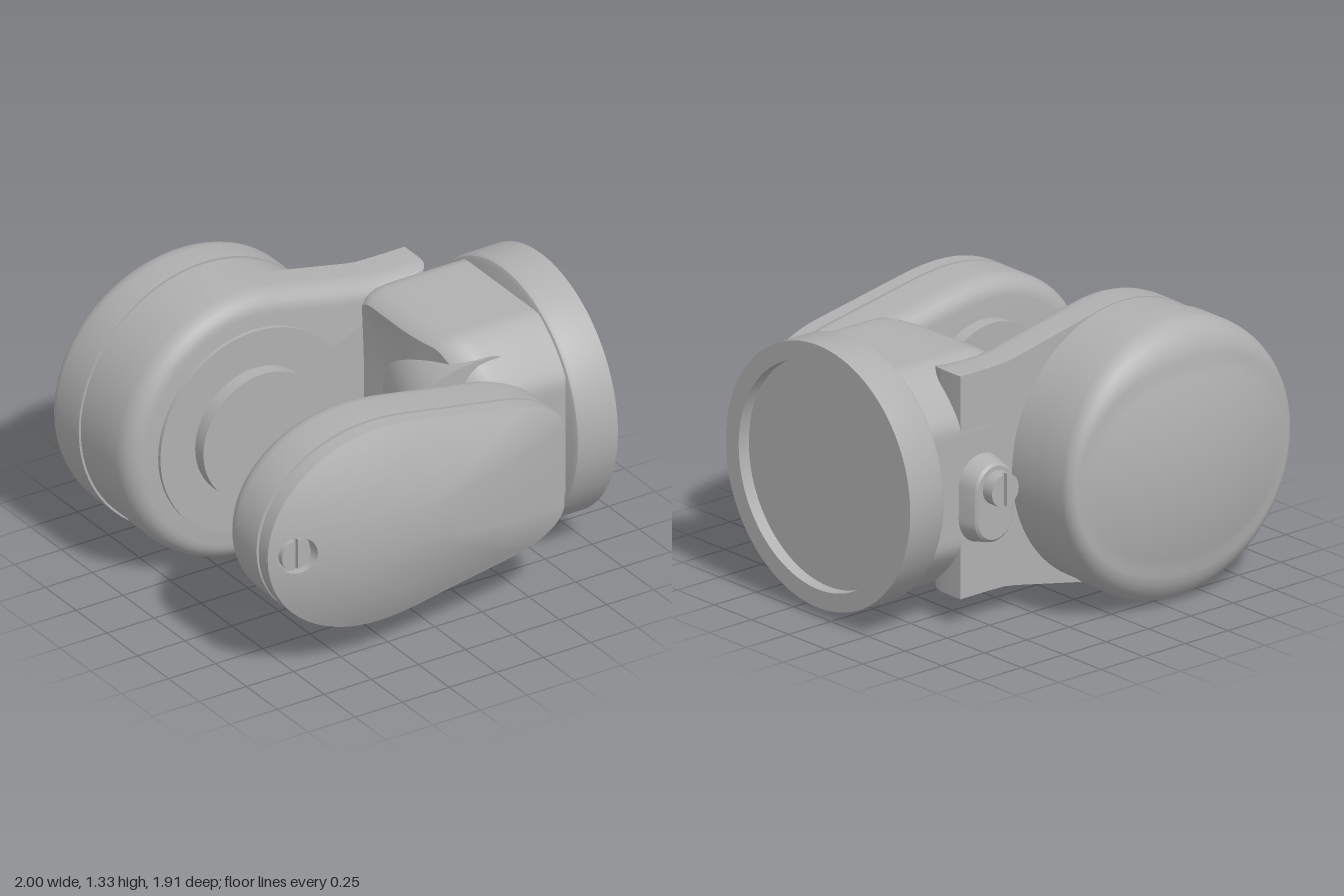
import * as THREE from 'three';
import { toCreasedNormals } from 'three/addons/utils/BufferGeometryUtils.js';

const CY = 0.667;   // height of the main axis
const NZ = 0.087;   // depth of the neck axis
const V = (x, y, z) => new THREE.Vector3(x, y, z);
const range = (n, f) => Array.from({ length: n }, (_, i) => f(i));

// Skin a list of equal-length rings (counter-clockwise about the loft direction)
function loft(rings, capStart = true, capEnd = true) {
  const n = rings[0].length, pos = [], idx = [];
  rings.forEach(r => r.forEach(p => pos.push(p.x, p.y, p.z)));
  for (let i = 0; i < rings.length - 1; i++) {
    for (let j = 0; j < n; j++) {
      const k = (j + 1) % n, a = i * n + j, b = i * n + k;
      idx.push(a, b, b + n, a, b + n, a + n);
    }
  }
  const cap = (row, flip) => {
    const c = rings[row].reduce((s, p) => s.add(p), V(0, 0, 0)).divideScalar(n);
    const m = pos.length / 3;
    pos.push(c.x, c.y, c.z);
    for (let j = 0; j < n; j++) {
      const a = row * n + j, b = row * n + (j + 1) % n;
      idx.push(m, flip ? b : a, flip ? a : b);
    }
  };
  if (capStart) cap(0, true);
  if (capEnd) cap(rings.length - 1, false);
  const g = new THREE.BufferGeometry();
  g.setAttribute('position', new THREE.Float32BufferAttribute(pos, 3));
  g.setIndex(idx);
  return toCreasedNormals(g, 0.55);
}

// Outline moved inward by d and placed at depth z
function inset(pts, d, z) {
  const n = pts.length;
  return pts.map((p, i) => {
    const a = pts[(i + n - 1) % n], b = pts[(i + 1) % n];
    const t = V(b.x - a.x, b.y - a.y, 0).normalize();
    return V(p.x - t.y * d, p.y + t.x * d, z);
  });
}

// Complete an upper half outline (right to left) by mirroring it about the axis
function mirrored(half) {
  const low = half.filter(p => Math.abs(p.y - CY) > 1e-4).reverse().map(p => V(p.x, 2 * CY - p.y, 0));
  return [...half, ...low];
}

const circle = (x, y, r, z, n = 72) => range(n, i => {
  const a = i / n * Math.PI * 2;
  return V(x + r * Math.cos(a), y + r * Math.sin(a), z);
});

export function createModel() {
  const group = new THREE.Group();
  const grey = new THREE.MeshStandardMaterial({ color: 0xb0b0b0 });
  grey.name = 'grey';
  const add = (name, geometry, parent = group) => {
    const m = new THREE.Mesh(geometry, grey);
    m.name = name;
    parent.add(m);
    return m;
  };
  // Disc with its axis along z
  const disc = (name, x, y, r, z0, z1, parent = group) => {
    const m = add(name, new THREE.CylinderGeometry(r, r, z1 - z0, 56).rotateX(Math.PI / 2), parent);
    m.position.set(x, y, (z0 + z1) / 2);
  };
  // Slotted screw head facing +z, its top at z = 0
  const screw = (name, r, height) => {
    const g = new THREE.Group();
    g.name = name;
    disc('screwBase', 0, 0, r, -height, -0.02, g);
    const a = Math.asin(0.01 / r), c = Math.PI / 2 - a;
    for (const turn of [0, Math.PI]) {
      const s = new THREE.Shape().absarc(0, 0, r, -c, c, false);
      const half = new THREE.ExtrudeGeometry(s, { depth: 0.02, bevelEnabled: false, curveSegments: 24 });
      add('screwHalf', half.translate(0, 0, -0.02).rotateZ(turn), g);
    }
    group.add(g);
    return g;
  };

  // Rear drum cap: shallow dome whose edge rounding widens above and below
  const N = 96, R = 0.663, CX = -0.337;
  const capRing = f => range(N, i => {
    const a = i / N * Math.PI * 2, [r, z] = f(Math.sin(a) ** 2);
    return V(CX + r * Math.cos(a), CY + r * Math.sin(a), z);
  });
  const domeZ = r => -0.96 + 0.11 * (r / 0.61) ** 2;
  const capRings = range(12, i => capRing(s => {
    const r = (R - 0.05 - 0.15 * s) * (i + 0.3) / 11.3;
    return [r, domeZ(r)];
  }));
  for (let i = 1; i <= 7; i++) {
    const t = i / 7 * Math.PI / 2;
    capRings.push(capRing(s => {
      const f = 0.05 + 0.15 * s;
      return [R - f + f * Math.sin(t), domeZ(R - f) + (0.06 + 0.1 * s) * (1 - Math.cos(t))];
    }));
  }
  capRings.push(capRing(() => [R, -0.61]));
  add('drumCap', loft(capRings));
  add('drumBody', loft([circle(CX, CY, 0.652, -0.615, N), circle(CX, CY, 0.652, -0.33, N)]));

  // Rear arm: drum outline running tangentially into the neck
  const rearHalf = [V(0.62, CY, 0), V(0.62, 1.195, 0), V(0.45, 1.195, 0), V(0.36, 1.197, 0), V(0.3, 1.206, 0)];
  range(37, i => {
    const a = THREE.MathUtils.degToRad(78 + i / 36 * 102);
    rearHalf.push(V(CX + 0.657 * Math.cos(a), CY + 0.657 * Math.sin(a), 0));
  });
  const rearOutline = mirrored(rearHalf);
  const rounding = range(7, i => i / 6 * Math.PI / 2);
  add('rearArm', loft([
    inset(rearOutline, 0, -0.44),
    ...rounding.map(t => inset(rearOutline, 0.09 * (1 - Math.cos(t)), -0.315 + 0.1 * Math.sin(t))),
  ]));
  disc('rearPlate', CX, CY, 0.5, -0.24, -0.197);
  disc('rearBoss', CX, CY, 0.315, -0.24, -0.13);

  // Front arm: egg-shaped pod with a groove below its cover
  const path = new THREE.Path().moveTo(0.637, CY);
  path.lineTo(0.637, 0.87);
  path.bezierCurveTo(0.625, 0.96, 0.5, 1.02, 0.37, 1.045);
  path.lineTo(-0.1, 1.128);
  path.bezierCurveTo(-0.18, 1.143, -0.26, 1.155, -0.35, 1.155);
  path.bezierCurveTo(-0.68, 1.155, -0.94, 0.94, -0.94, CY);
  const outline = mirrored(path.getPoints(18).map(p => V(p.x, p.y, 0)));
  add('frontArm', loft([
    ...rounding.slice().reverse().map(t => inset(outline, 0.09 * (1 - Math.cos(t)), 0.575 - 0.1 * Math.sin(t))),
    inset(outline, 0, 0.74), inset(outline, 0.014, 0.741), inset(outline, 0.014, 0.757),
    inset(outline, 0, 0.758), inset(outline, 0, 0.83),
  ], true, false));
  disc('frontBoss', -0.31, CY, 0.315, 0.41, 0.5);

  // Domed cover, skinned from the rim to a round screw recess
  const mid = V(-0.3, CY, 0), hole = V(-0.81, CY, 0);
  const gauge = p => Math.max(...outline.map((a, i) => {
    const b = outline[(i + 1) % outline.length], nx = b.y - a.y, ny = a.x - b.x;
    return (nx * (p.x - mid.x) + ny * (p.y - mid.y)) / (nx * (a.x - mid.x) + ny * (a.y - mid.y));
  }));
  const rimToHole = outline.map(p => [p, hole.clone().add(p.clone().sub(hole).setLength(0.09))]);
  const coverRings = range(25, i => rimToHole.map(([p, h]) => {
    const q = p.clone().lerp(h, i / 24);
    q.z = 0.83 + 0.125 * (1 - Math.min(1, gauge(q)) ** 2);
    return q;
  }));
  coverRings.push(rimToHole.map(([, h]) => V(h.x, h.y, 0.835)));
  add('cover', loft(coverRings, false, true));
  screw('coverScrew', 0.075, 0.03).position.set(hole.x, hole.y, 0.864);

  // Neck: round bar with four flats, its inner end slanting toward the front arm
  const neckRing = (x, s, slant) => range(96, i => {
    const a = i / 96 * Math.PI * 2, c = v => THREE.MathUtils.clamp(0.6 * v, -0.527, 0.527) * s;
    const z = c(Math.sin(a));
    return V(x + slant * Math.max(0, z) ** 2, CY + c(Math.cos(a)), NZ + z);
  });
  add('neck', loft([
    neckRing(0.245, 0.9, 0.45), neckRing(0.27, 0.95, 0.45), neckRing(0.33, 0.99, 0.4),
    neckRing(0.42, 1, 0.2), neckRing(0.63, 1, 0), neckRing(0.79, 1, 0),
  ]));

  // Gusset sloping from the neck to the front arm
  add('gusset', loft(range(9, k => {
    const t = k / 8, rx = 0.21 + 0.27 * t ** 1.1, ry = 0.36 + 0.09 * t;
    return range(64, i => {
      const a = i / 64 * Math.PI * 2, p = v => Math.sign(v) * Math.abs(v) ** 0.75;
      return V(0.45 + rx * p(Math.cos(a)) * (Math.cos(a) > 0 ? 0.35 : 1), CY + ry * p(Math.sin(a)), -0.04 + 0.54 * t);
    });
  })));

  // Collar with a recessed end face
  const profile = [[0, 0.785], [0.592, 0.785], [0.612, 0.794], [0.622, 0.815], [0.622, 1], [0.535, 1], [0.535, 0.94], [0, 0.94]];
  const collar = new THREE.LatheGeometry(profile.map(([r, x]) => new THREE.Vector2(r, x)), 96);
  const collarMesh = add('collar', toCreasedNormals(collar.rotateZ(-Math.PI / 2), 0.5));
  collarMesh.position.set(0, CY, NZ);

  // Rear lug with its screw
  const lugRing = (r, z) => circle(0.497, 0, r, z, 48).map(p => V(p.x, p.y + (p.y > 0 ? CY : 0.52), z));
  add('lug', loft([lugRing(0.1, -0.536), lugRing(0.112, -0.525), lugRing(0.136, -0.43)]));
  const rearScrew = screw('lugScrew', 0.079, 0.07);
  rearScrew.position.set(0.493, CY, -0.598);
  rearScrew.rotation.y = Math.PI;

  return group;
}
